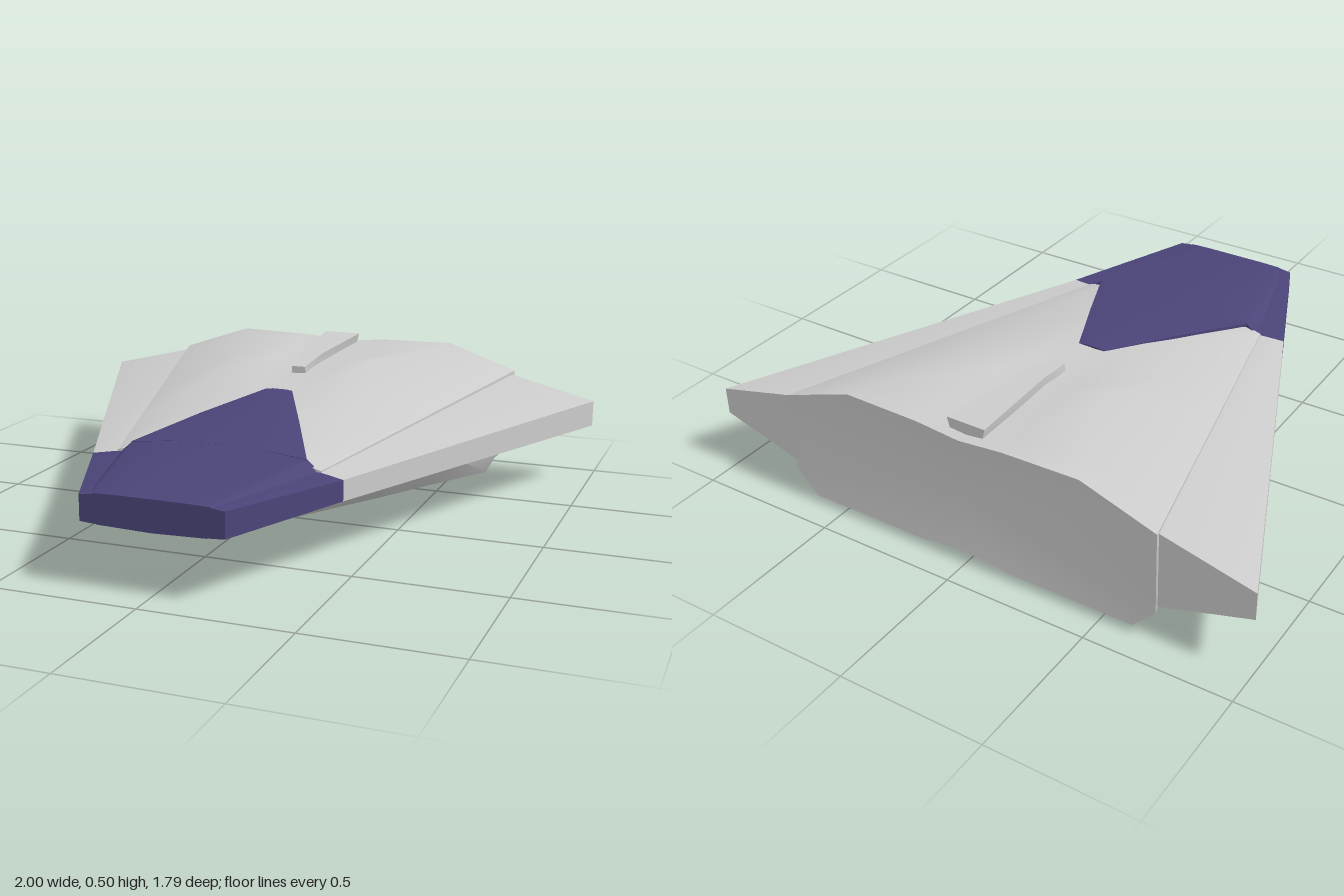
import * as THREE from 'three';
import { toCreasedNormals } from 'three/addons/utils/BufferGeometryUtils.js';

const grey = new THREE.MeshStandardMaterial({ color: 0xcccccc });
const purple = new THREE.MeshStandardMaterial({ color: 0x4a4478 });

// Skin over mirrored cross-sections, listed back to front.
// Each half section runs from top centre to bottom centre as [x, y, dz].
function loft(name, material, sections, crease = 0.6, backInset = 0) {
  const pos = [], idx = [];
  const rings = sections.map(({ z, half }) => {
    const right = half.map(([x, y, dz = 0]) => [x, y, z + dz]);
    const left = right.slice(1, -1).reverse().map(([x, y, pz]) => [-x, y, pz]);
    return [...right, ...left];
  });
  const n = rings[0].length, last = rings.length - 1;
  rings.forEach((ring) => ring.forEach((p) => pos.push(...p)));
  for (let s = 0; s < last; s++) {
    for (let i = 0; i < n; i++) {
      const j = (i + 1) % n;
      const a = s * n + i, b = s * n + j, c = b + n, d = a + n;
      idx.push(a, d, b, b, d, c);
    }
  }
  // End caps
  [0, last].forEach((s) => {
    const half = sections[s].half;
    const midY = (half[0][1] + half[half.length - 1][1]) / 2;
    const centre = pos.length / 3;
    pos.push(0, midY, sections[s].z + (s === 0 ? backInset : 0));
    for (let i = 0; i < n; i++) {
      const a = s * n + i, b = s * n + ((i + 1) % n);
      if (s === 0) idx.push(centre, a, b);
      else idx.push(centre, b, a);
    }
  });
  const geo = new THREE.BufferGeometry();
  geo.setAttribute('position', new THREE.Float32BufferAttribute(pos, 3));
  geo.setIndex(idx);
  const mesh = new THREE.Mesh(toCreasedNormals(geo, crease), material);
  mesh.name = name;
  return mesh;
}

// Hull section: deck centre, shoulder and ridge, straight side edges, then keel and belly channel
function hullSection(z, centreY, inner, ridge, keelX, keelY, channelX, bellyY) {
  const t = z + 0.9;
  const x = 0.69 - 0.254 * t;
  const top = 0.4 - 0.073 * t, low = 0.11 + 0.069 * t;
  return {
    z,
    half: [[0, centreY], inner, ridge, [x, top], [x, low],
      [keelX, keelY], [channelX, keelY], [channelX * 0.45, bellyY], [0, bellyY]],
  };
}

export function createModel() {
  const model = new THREE.Group();
  model.name = 'wedgeShip';

  // Main hull with waisted deck ridges and a channelled belly
  model.add(loft('hull', grey, [
    hullSection(-0.9, 0.47, [0.16, 0.485], [0.43, 0.49], 0.61, 0.03, 0.16, 0.045),
    hullSection(-0.82, 0.468, [0.16, 0.485], [0.41, 0.49], 0.61, 0.005, 0.16, 0.025),
    hullSection(-0.48, 0.455, [0.13, 0.47], [0.26, 0.49], 0.49, 0.035, 0.15, 0.06),
    hullSection(-0.2, 0.425, [0.1, 0.428], [0.31, 0.425], 0.4, 0.06, 0.13, 0.085),
    hullSection(0.1, 0.385, [0.13, 0.38], [0.3, 0.365], 0.3, 0.088, 0.12, 0.11),
    hullSection(0.3, 0.35, [0.16, 0.345], [0.31, 0.34], 0.23, 0.105, 0.1, 0.12),
    hullSection(0.4, 0.335, [0.16, 0.33], [0.29, 0.325], 0.2, 0.145, 0.1, 0.14),
  ], 0.7, 0.02));

  // Swept wings with a flat vertical rim
  const wingFront = [[0, 0.3, -0.03], [0.36, 0.3, -0.02], [0.442, 0.29], [0.442, 0.22],
    [0.36, 0.21, -0.02], [0, 0.21, -0.03]];
  model.add(loft('wings', grey, [
    { z: -0.88, half: [[0, 0.385], [0.685, 0.388], [1, 0.31], [1, 0.215], [0.685, 0.12], [0, 0.12]] },
    { z: 0.42, half: wingFront },
  ], 0.4));

  // Coloured forward ends of the wings
  model.add(loft('noseEdges', purple, [
    { z: 0.42, half: wingFront },
    { z: 0.89, half: [[0, 0.305], [0.2, 0.305], [0.24, 0.3], [0.24, 0.215], [0.2, 0.212], [0, 0.212]] },
  ], 0.4));

  // Nose body
  model.add(loft('nose', purple, [
    { z: 0.39, half: [[0, 0.358], [0.16, 0.353], [0.31, 0.335], [0.355, 0.295], [0.355, 0.215], [0.2, 0.162], [0, 0.147]] },
    { z: 0.89, half: [[0, 0.31], [0.12, 0.31], [0.19, 0.308], [0.22, 0.295], [0.22, 0.22], [0.18, 0.21], [0, 0.205]] },
  ], 0.6));

  // Canopy tapering back into the deck
  model.add(loft('canopy', purple, [
    { z: -0.16, half: [[0, 0.425], [0.025, 0.425], [0.05, 0.422], [0.05, 0.36], [0, 0.36]] },
    { z: 0.12, half: [[0, 0.395], [0.09, 0.393], [0.182, 0.384], [0.182, 0.33], [0, 0.33]] },
    { z: 0.395, half: [[0, 0.358], [0.16, 0.353], [0.31, 0.337], [0.31, 0.3], [0, 0.3]] },
  ], 0.6));

  // Dorsal fin
  model.add(loft('dorsalFin', grey, [
    { z: -0.86, half: [[0, 0.51], [0.07, 0.51], [0.055, 0.45], [0, 0.45]] },
    { z: -0.5, half: [[0, 0.492], [0.04, 0.492], [0.035, 0.43], [0, 0.43]] },
    { z: -0.36, half: [[0, 0.468], [0.025, 0.468], [0.03, 0.42], [0, 0.42]] },
  ], 0.4));

  // Ventral fairing
  model.add(loft('ventralFairing', grey, [
    { z: -0.8, half: [[0, 0.09], [0.07, 0.09], [0.07, 0.018], [0, 0.018]] },
    { z: 0.2, half: [[0, 0.14], [0.03, 0.14], [0.02, 0.1], [0, 0.1]] },
  ], 0.4));

  return model;
}
